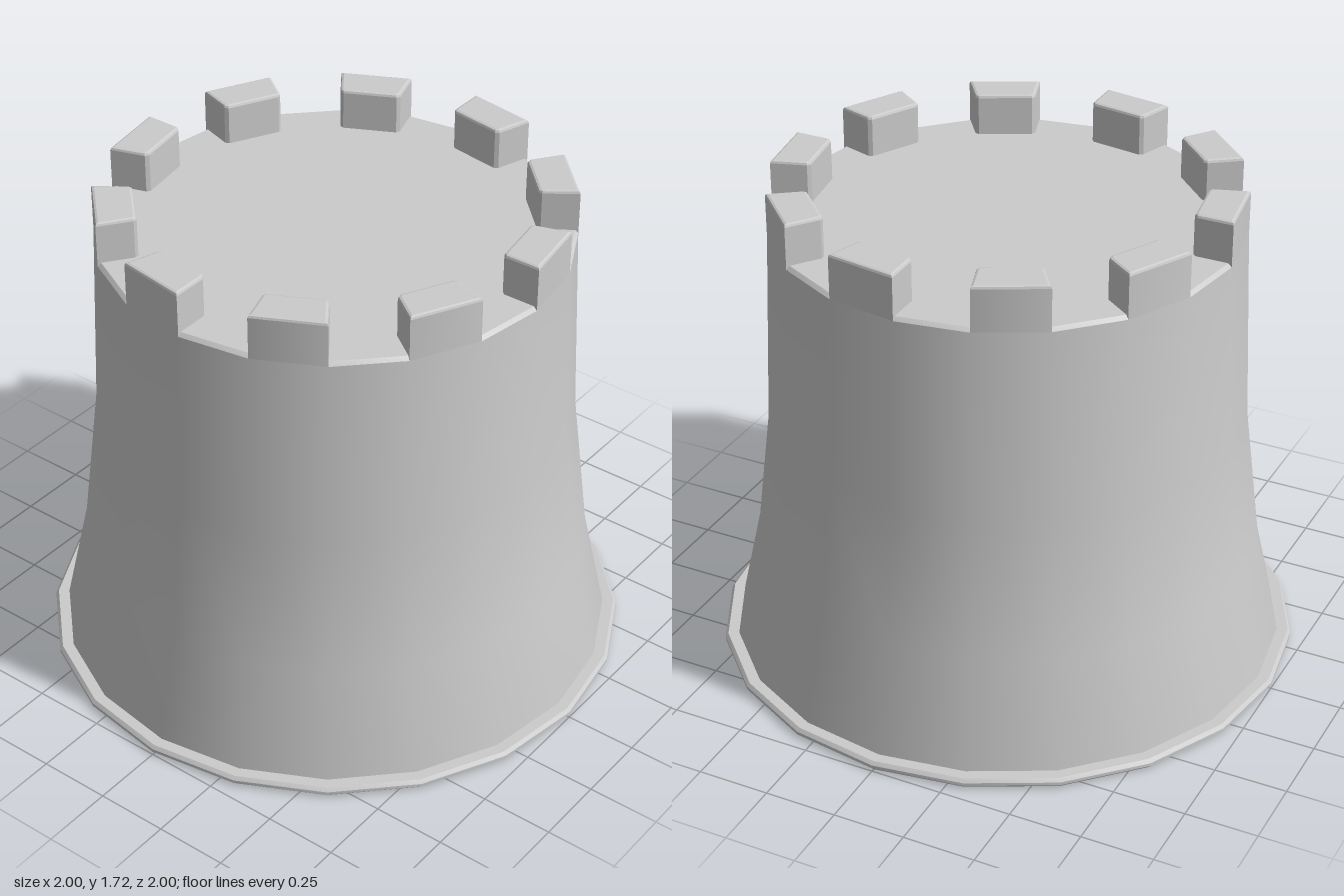
import * as THREE from 'three';
import { toCreasedNormals } from 'three/addons/utils/BufferGeometryUtils.js';

const SIDES = 20;
const TOP_R = 0.785;
const FLOOR_Y = 1.573;
const TOP_Y = 1.717;
const material = new THREE.MeshStandardMaterial({ color: 0xcccccc, side: THREE.DoubleSide });

function addMesh(parent, name, geometry) {
  const mesh = new THREE.Mesh(geometry, material);
  mesh.name = name;
  parent.add(mesh);
  return mesh;
}

// Turned part: smooth around its sides, sharp at strong profile corners
function turned(profile) {
  const points = profile.map(([r, y]) => new THREE.Vector2(r, y));
  return toCreasedNormals(new THREE.LatheGeometry(points, SIDES), 0.6);
}

// One wedge-shaped block spanning a single side of the tower, centred on +z
function merlonGeometry() {
  const half = Math.PI / SIDES;
  const bevel = 0.01;
  const inner = 0.65;
  const at = (r, a) => new THREE.Vector2(r * Math.sin(a), -r * Math.cos(a));
  const shape = new THREE.Shape([
    at(TOP_R, -half), at(TOP_R, half),
    at(inner + 0.012, half), at(inner, half - 0.015),
    at(inner, -half + 0.015), at(inner + 0.012, -half),
  ]);
  const base = FLOOR_Y - 0.04;
  const geometry = new THREE.ExtrudeGeometry(shape, {
    depth: TOP_Y - base - 2 * bevel,
    bevelEnabled: true, bevelThickness: bevel, bevelSize: bevel,
    bevelOffset: -bevel, bevelSegments: 2,
  });
  geometry.rotateX(-Math.PI / 2);
  geometry.translate(0, base + bevel, 0);

  // Outer face shades as a continuation of the round wall
  const { position: p, normal: n } = geometry.attributes;
  for (let i = 0; i < n.count; i++) {
    if (n.getZ(i) > 0.95) {
      const r = Math.hypot(p.getX(i), p.getZ(i));
      n.setXYZ(i, p.getX(i) / r, 0, p.getZ(i) / r);
    }
  }
  return geometry;
}

export function createModel() {
  const model = new THREE.Group();
  model.name = 'towerBucket';

  // Flared hollow wall with a slightly eased upper edge
  addMesh(model, 'wall', turned([
    [0.955, 0.005], [0.952, 0.035], [0.869, 0.41], [0.81, 0.9],
    [TOP_R, FLOOR_Y - 0.012], [TOP_R - 0.012, FLOOR_Y],
  ]));

  // Rim around the open bottom
  addMesh(model, 'rim', turned([
    [0.955, 0.005], [0.96, 0], [0.988, 0], [1, 0.012], [1, 0.023], [0.99, 0.035], [0.95, 0.035],
  ]));

  // Closed top between the battlements
  const floor = addMesh(model, 'topFloor', new THREE.CircleGeometry(TOP_R - 0.012, SIDES));
  floor.rotation.x = -Math.PI / 2;
  floor.position.y = FLOOR_Y;

  // Battlements on every second side
  const battlements = new THREE.Group();
  battlements.name = 'battlements';
  const block = merlonGeometry();
  for (let i = 0; i < SIDES / 2; i++) {
    addMesh(battlements, 'merlon', block).rotation.y = (2 * i - 0.5) * (2 * Math.PI / SIDES);
  }
  model.add(battlements);

  return model;
}
